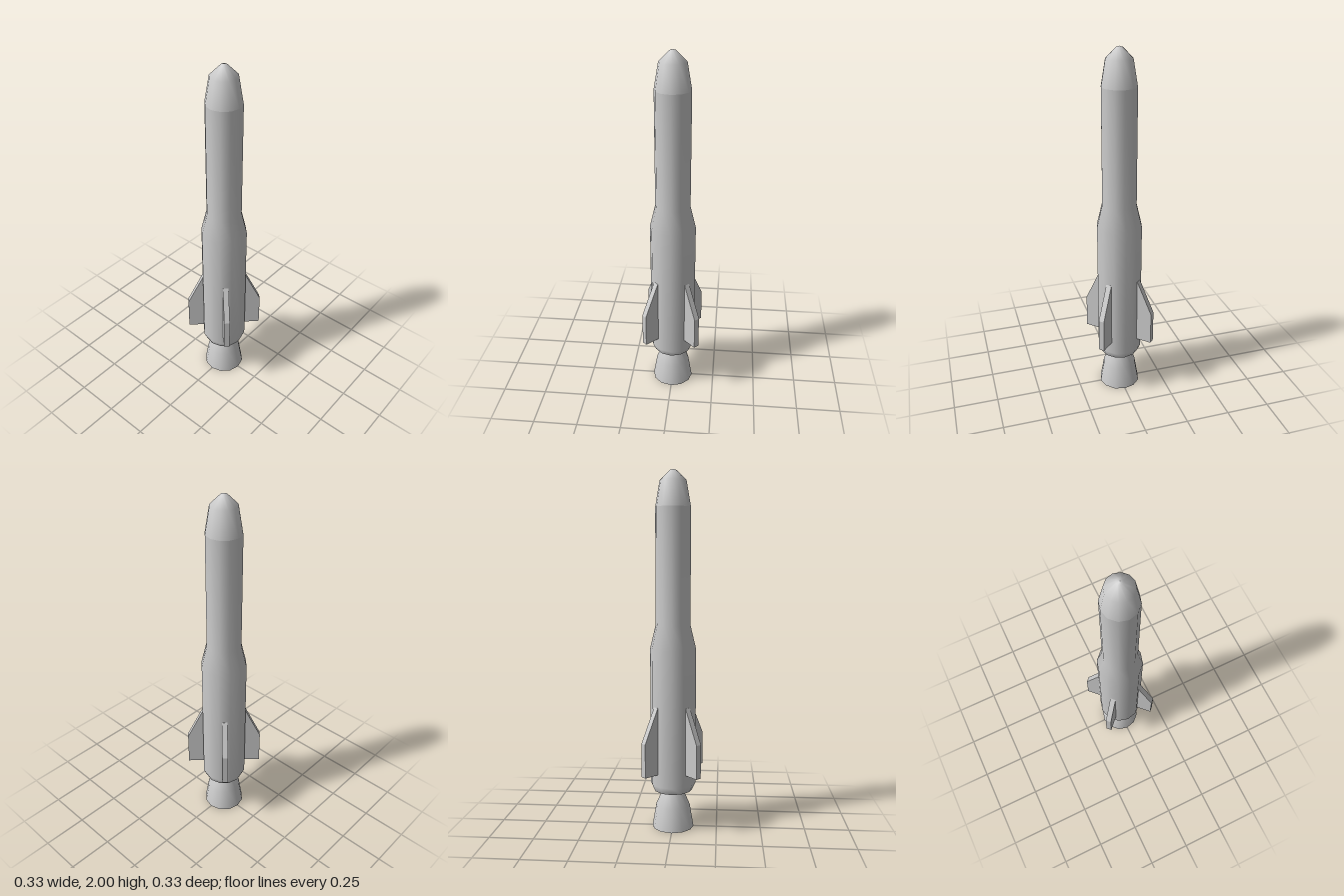
import * as THREE from 'three';

const SIDES = 12;

export function createModel() {
  const model = new THREE.Group();
  const material = new THREE.MeshStandardMaterial({ color: 0xcccccc });

  const add = (name, geometry) => {
    const mesh = new THREE.Mesh(geometry, material);
    mesh.name = name;
    model.add(mesh);
    return mesh;
  };
  // Profiles run as [radius, height], outer surfaces from bottom to top
  const lathe = (profile) =>
    new THREE.LatheGeometry(profile.map(([r, y]) => new THREE.Vector2(r, y)), SIDES);

  // Stepped body with a blunt nose
  add('body', lathe([
    [0.11, 0.22], [0.128, 0.26], [0.128, 1.03],
    [0.097, 1.16], [0.097, 1.8],
  ]));
  add('nose', lathe([[0.097, 1.8], [0.073, 1.94], [0.018, 1.994], [0, 2]]));
  add('bodyBase', lathe([[0, 0.22], [0.11, 0.22]]));

  // Hollow engine bell: outside, rim and inside
  add('nozzleOuter', lathe([[0.118, 0], [0.096, 0.13], [0.056, 0.222]]));
  add('nozzleRim', lathe([[0.1, 0], [0.118, 0]]));
  add('nozzleInner', lathe([[0, 0.2], [0.042, 0.2], [0.08, 0.125], [0.1, 0]]));

  // Four swept fins on the diagonals
  const outline = new THREE.Shape([
    [0.1, 0.33], [0.214, 0.33], [0.214, 0.52], [0.124, 0.71], [0.1, 0.71],
  ].map(([x, y]) => new THREE.Vector2(x, y)));
  const thickness = 0.0325;
  const finGeometry = new THREE.ExtrudeGeometry(outline, { depth: thickness, bevelEnabled: false });
  finGeometry.translate(0, 0, -thickness / 2);
  for (let i = 0; i < 4; i++) {
    add(`fin${i + 1}`, finGeometry).rotation.y = Math.PI / 4 + (i * Math.PI) / 2;
  }

  return model;
}
